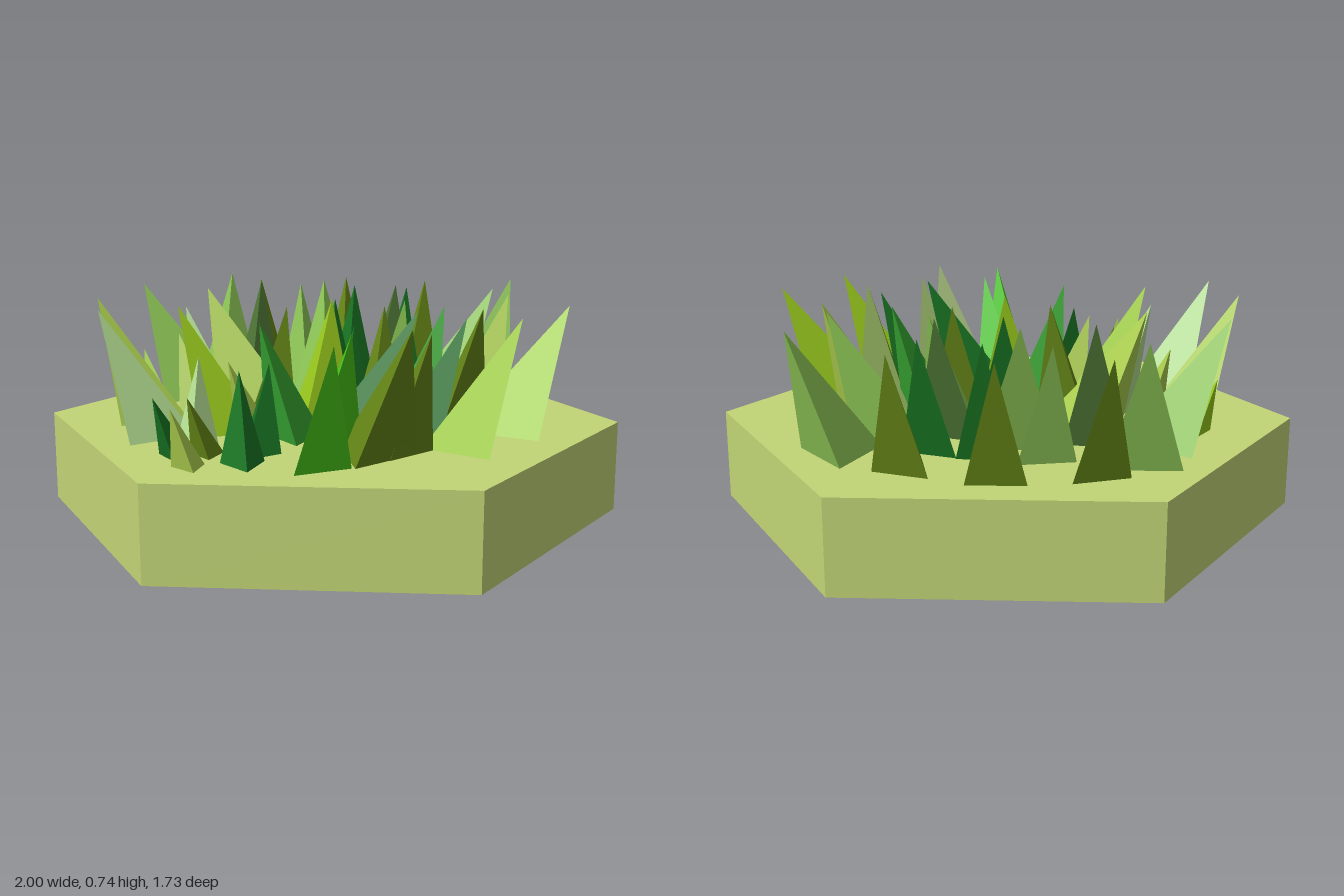
import * as THREE from 'three';

const TOP = 0.315; // height of the hexagonal tile
const LEAN_CENTRE = 0.22; // z of the point the blades lean away from

// Grass blades by colour: foot x, foot z and, where not the usual ones,
// foot radius and lean direction (degrees from +x towards +z)
const TUFTS = {
  darkOlive: [
    [-0.3, -0.64], [0, -0.69], [0.28, -0.61], [-0.22, 0.13, 0.11, -60], [0.16, 0.1, 0.11, -80],
    [0.42, 0.12, 0.12, 50], [0.16, 0.52, 0.15, 45], [0.25, 0.46], [-0.35, 0.54, 0.06],
  ],
  yellowGreen: [
    [0.6, 0.15, 0.17], [0.46, 0.41, 0.14, 0], [-0.04, 0.18, 0.14, -75], [-0.34, 0.22, 0.13], [-0.65, -0.18, 0.06],
  ],
  darkGreen: [
    [0.04, -0.45], [0.21, -0.41], [0.05, -0.24, 0.08], [0, -0.05], [0.33, 0.22],
    [0.12, 0.3, 0.15, 0], [-0.45, 0.56, 0.06], [-0.2, 0.52, 0.08, -70], [-0.22, 0.65, 0.08, -105],
  ],
  midGreen: [[0.28, 0.04], [-0.1, 0.3]],
  brightGreen: [[0.02, 0.45, 0.11, 51], [0, 0.66, 0.11, 61]],
  paleSage: [[-0.57, 0.31, 0.14], [-0.41, 0.43, 0.08, -90], [-0.38, 0.08]],
  moss: [
    [0.51, -0.46, 0.15, -38], [-0.45, -0.52, 0.14, -90], [-0.14, -0.48], [-0.05, -0.33, 0.14],
    [0.39, -0.29, 0.15, 0], [0.18, -0.06], [-0.54, -0.32, 0.16, 184],
  ],
  deepMoss: [[-0.31, -0.29, 0.12, -86], [0.16, -0.22, 0.13]],
  hayGreen: [
    [-0.28, -0.16, 0.17, 200], [-0.48, -0.07, 0.08], [-0.64, 0.06, 0.14, 180], [0.48, -0.05, 0.13],
    [-0.22, 0.36, 0.08], [-0.38, 0.69, 0.06],
  ],
};

const COLORS = {
  darkOlive: 0x668717, yellowGreen: 0x9acb1e, darkGreen: 0x187322,
  midGreen: 0x38a632, brightGreen: 0x48c81a, paleSage: 0xb4e092,
  moss: 0x8cc455, deepMoss: 0x4d7434, hayGreen: 0xaccf4e,
};

// Three-sided spike: wider blades grow taller and lean further out
function blade(x, z, r = 0.11, degrees) {
  const heading = degrees === undefined ? Math.atan2(z - LEAN_CENTRE, x) : THREE.MathUtils.degToRad(degrees);
  const tipY = Math.min(0.74, 0.27 + 4 * r);
  const lean = 1.2 * r;
  const geo = new THREE.ConeGeometry(1, 1, 3, 1, true);
  geo.translate(0, 0.5, 0);
  geo.rotateY(-Math.PI / 2 - heading); // one corner points away from the lean
  geo.applyMatrix4(new THREE.Matrix4().set(
    r, lean * Math.cos(heading), 0, x,
    0, tipY - TOP, 0, TOP,
    0, lean * Math.sin(heading), r, z,
    0, 0, 0, 1));
  geo.computeVertexNormals();
  return geo;
}

export function createModel() {
  const model = new THREE.Group();
  model.name = 'grassTile';

  // Hexagonal tile with two corners on the x axis
  const tileGeo = new THREE.CylinderGeometry(1, 1, TOP, 6);
  tileGeo.rotateY(Math.PI / 6);
  tileGeo.translate(0, TOP / 2, 0);
  const tile = new THREE.Mesh(tileGeo, new THREE.MeshStandardMaterial({ color: 0xc2d676, flatShading: true }));
  tile.name = 'hexTile';
  model.add(tile);

  // Grass
  for (const [shade, feet] of Object.entries(TUFTS)) {
    const material = new THREE.MeshStandardMaterial({ color: COLORS[shade], flatShading: true });
    const tuft = new THREE.Group();
    tuft.name = `${shade}Grass`;
    for (const foot of feet) {
      const mesh = new THREE.Mesh(blade(...foot), material);
      mesh.name = 'grassBlade';
      tuft.add(mesh);
    }
    model.add(tuft);
  }
  return model;
}
